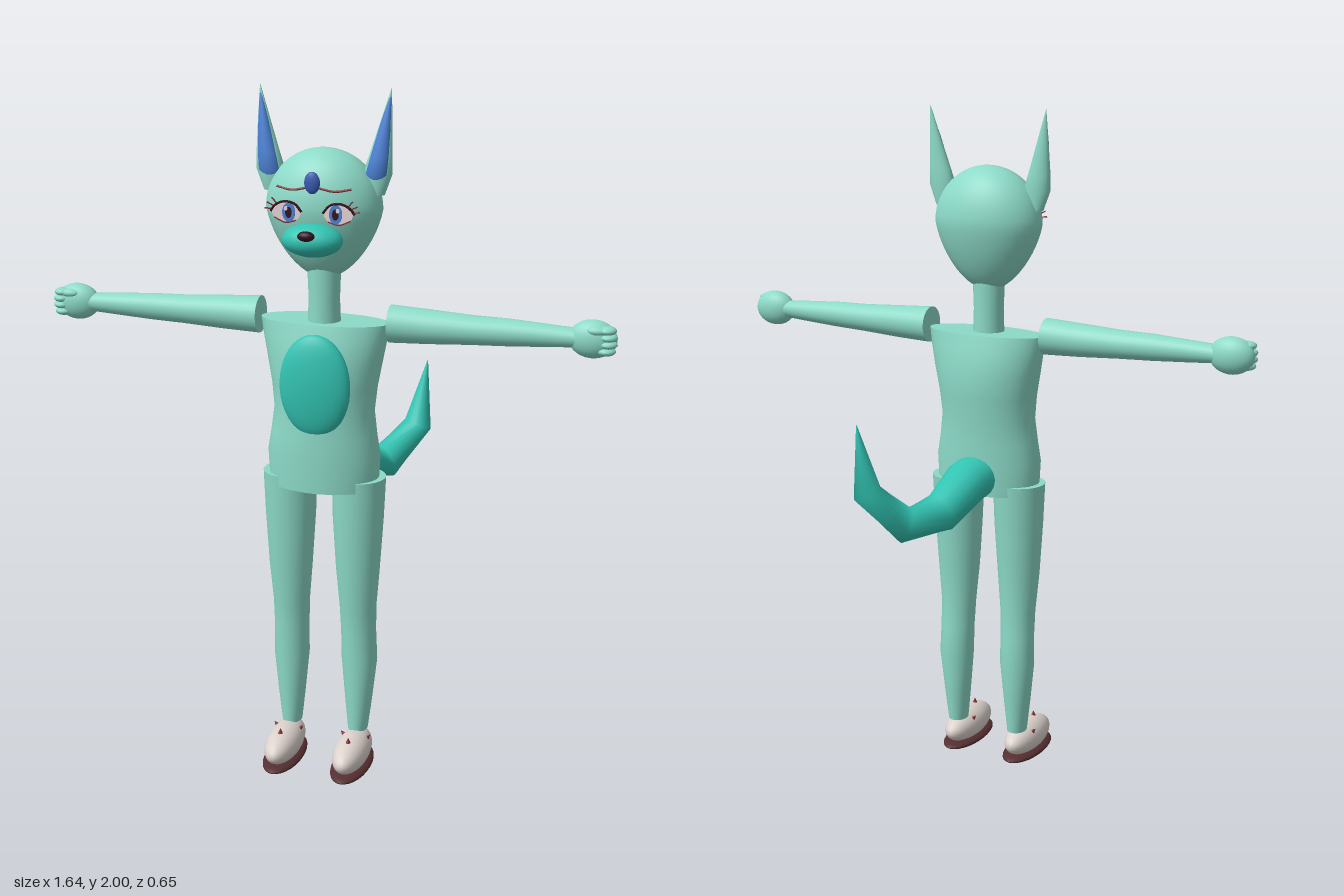
import * as THREE from 'three';

const mat = (name, color) => {
  const m = new THREE.MeshStandardMaterial({ color });
  m.name = name;
  return m;
};
const V = (x, y, z) => new THREE.Vector3(x, y, z);

// Closed loft through elliptical sections [x, y, z, a, b].
// With a fixed dir all rings are parallel; otherwise they follow the path.
function loft(sections, { dir = null, ref = V(0, 0, 1), n = 28 } = {}) {
  const pos = [], idx = [], last = sections.length - 1;
  const centre = i => V(...sections[i].slice(0, 3));
  const addRing = i => {
    const d = dir ? dir.clone() : centre(Math.min(i + 1, last)).sub(centre(Math.max(i - 1, 0))).normalize();
    const u = d.clone().cross(ref).normalize(), v = u.clone().cross(d);
    const start = pos.length / 3, [, , , a, b] = sections[i];
    for (let j = 0; j < n; j++) {
      const t = j / n * Math.PI * 2;
      const p = centre(i).addScaledVector(u, a * Math.cos(t)).addScaledVector(v, b * Math.sin(t));
      pos.push(p.x, p.y, p.z);
    }
    return start;
  };
  const rings = sections.map((_, i) => addRing(i));
  for (let i = 0; i < last; i++) for (let j = 0; j < n; j++) {
    const k = (j + 1) % n, A = rings[i], B = rings[i + 1];
    idx.push(A + j, B + j, A + k, B + j, B + k, A + k);
  }
  for (const i of [0, last]) { // end caps with their own vertices
    const r = addRing(i), c = pos.length / 3;
    pos.push(...centre(i).toArray());
    for (let j = 0; j < n; j++) {
      const k = (j + 1) % n;
      if (i === 0) idx.push(c, r + j, r + k); else idx.push(c, r + k, r + j);
    }
  }
  const g = new THREE.BufferGeometry();
  g.setAttribute('position', new THREE.Float32BufferAttribute(pos, 3));
  g.setIndex(idx);
  g.computeVertexNormals();
  return g;
}

export function createModel() {
  const fur = mat('mint fur', 0x8cdac8), teal = mat('teal fur', 0x32c4b3);
  const blue = mat('ear blue', 0x4c82d6), gemBlue = mat('gem blue', 0x3c5cb4);
  const shoe = mat('pale shoe', 0xdcd2cc), sole = mat('dark sole', 0x552e30);
  const red = mat('dark red', 0x8c3038), dark = mat('near black', 0x32141e);
  const white = mat('eye white', 0xf4e2e6);
  const UP = V(0, 1, 0);
  const model = new THREE.Group();

  const add = (name, geo, material, parent = model) => {
    const m = new THREE.Mesh(geo, material);
    m.name = name;
    parent.add(m);
    return m;
  };
  const ball = (name, c, r, material, parent, seg = 28) => {
    const m = add(name, new THREE.SphereGeometry(1, seg, Math.ceil(seg * 0.65)), material, parent);
    m.position.set(...c);
    m.scale.set(...r);
    return m;
  };
  // Thin elliptical plate facing the front
  const plate = (name, x, y, z, rx, ry, material, parent) => {
    const g = new THREE.CylinderGeometry(1, 1, 0.006, 28).rotateX(Math.PI / 2).scale(rx, ry, 1);
    add(name, g, material, parent).position.set(x, y, z);
  };
  const line = (name, pts, r, material, parent) =>
    add(name, new THREE.TubeGeometry(new THREE.CatmullRomCurve3(pts.map(p => V(...p))), 14, r, 6), material, parent);

  // Torso, neck and belly
  add('torso', loft([
    [0, 0.875, 0.135, 0.160, 0.104], [0, 0.97, 0.135, 0.165, 0.105], [0, 1.03, 0.134, 0.155, 0.104],
    [0, 1.10, 0.131, 0.146, 0.103], [0, 1.17, 0.127, 0.153, 0.106], [0, 1.24, 0.124, 0.166, 0.108],
    [0, 1.31, 0.122, 0.180, 0.092], [0, 1.355, 0.121, 0.187, 0.080]], { dir: UP, n: 40 }), fur);
  add('neck', loft([[0, 1.34, 0.13, 0.047, 0.045], [0, 1.42, 0.13, 0.044, 0.043],
    [0, 1.52, 0.13, 0.048, 0.046]], { dir: UP }), fur);
  ball('bellyPatch', [0, 1.187, 0.222], [0.103, 0.148, 0.037], teal);

  // Egg-shaped head, narrowing to the chin
  const headGeo = new THREE.SphereGeometry(1, 40, 28), hp = headGeo.attributes.position;
  for (let i = 0; i < hp.count; i++) {
    const t = hp.getY(i), k = t < 0 ? 1 + 0.22 * t : 1;
    hp.setXYZ(i, hp.getX(i) * k * 0.165, t * (t < 0 ? 0.195 : 0.165), hp.getZ(i) * k * 0.111);
  }
  headGeo.computeVertexNormals();
  add('head', headGeo, fur).position.set(0, 1.672, 0.127);

  // Face
  ball('muzzle', [0, 1.602, 0.238], [0.085, 0.046, 0.058], teal);
  ball('nose', [0, 1.623, 0.295], [0.024, 0.014, 0.015], dark);
  ball('foreheadGem', [0, 1.757, 0.238], [0.022, 0.03, 0.011], gemBlue);
  line('browBand', [[-0.105, 1.742, 0.222], [-0.06, 1.735, 0.231], [0, 1.745, 0.234],
    [0.06, 1.735, 0.231], [0.105, 1.742, 0.222]], 0.003, red);

  // Tail, bending sideways and up to a point
  add('tail', loft([[0, 0.93, 0.06, 0.066, 0.07], [0.002, 0.925, 0.0, 0.066, 0.07],
    [0.022, 0.862, -0.12, 0.06, 0.058], [0.09, 0.837, -0.21, 0.053, 0.052],
    [0.172, 0.94, -0.283, 0.042, 0.042], [0.196, 1.14, -0.296, 0.001, 0.001]], { ref: V(1, 0, 0), n: 20 }), teal);

  for (const s of [-1, 1]) {
    const side = s > 0 ? 'left' : 'right';
    const group = part => {
      const g = new THREE.Group();
      g.name = side + part;
      model.add(g);
      return g;
    };

    // Eye: layered plates, lid and lashes
    const eye = group('Eye');
    plate('eyeWhite', s * 0.073, 1.675, 0.235, 0.041, 0.027, white, eye);
    plate('iris', s * 0.066, 1.675, 0.238, 0.018, 0.026, blue, eye);
    plate('pupil', s * 0.066, 1.675, 0.240, 0.009, 0.015, dark, eye);
    plate('glint', s * 0.073, 1.686, 0.242, 0.005, 0.006, white, eye);
    line('upperLid', [[s * 0.03, 1.677, 0.239], [s * 0.05, 1.699, 0.239], [s * 0.08, 1.704, 0.239],
      [s * 0.105, 1.693, 0.238], [s * 0.118, 1.676, 0.236]], 0.0035, dark, eye);
    line('lowerLid', [[s * 0.045, 1.654, 0.238], [s * 0.075, 1.647, 0.238], [s * 0.108, 1.66, 0.238]], 0.002, red, eye);
    for (const [x, y, dx, dy] of [[0.1, 1.697, 0.014, 0.016], [0.108, 1.69, 0.02, 0.01], [0.114, 1.682, 0.02, 0.002]])
      line('lash', [[s * x, y, 0.237], [s * (x + dx), y + dy, 0.239]], 0.002, red, eye);

    // Ear: flattened cone with a blue front
    const ear = group('Ear');
    const earRings = (w, d, dz, y0) => loft([
      [s * 0.150, y0, 0.130, 0.022 * w, 0.018 * d], [s * 0.152, 1.772, 0.131 + dz, 0.041 * w, 0.025 * d],
      [s * 0.160, 1.82, 0.130 + dz, 0.033 * w, 0.021 * d], [s * 0.173, 1.91, 0.123 + dz, 0.017 * w, 0.011 * d],
      [s * 0.185, 2.0 - dz, 0.117, 0.0005, 0.0005]], { dir: UP, n: 20 });
    add('outerEar', earRings(1, 1, 0, 1.715), fur, ear);
    add('innerEar', earRings(0.8, 0.85, 0.008, 1.74), blue, ear);

    // Arm and fist
    const arm = group('Arm');
    add('armSleeve', loft([[s * 0.19, 1.357, 0.124, 0.053, 0.053], [s * 0.30, 1.356, 0.124, 0.048, 0.048],
      [s * 0.42, 1.356, 0.125, 0.041, 0.042], [s * 0.52, 1.357, 0.126, 0.038, 0.038],
      [s * 0.62, 1.357, 0.127, 0.032, 0.032], [s * 0.71, 1.357, 0.128, 0.026, 0.028]],
      { dir: V(s, 0, 0) }), fur, arm);
    ball('palm', [s * 0.752, 1.357, 0.128], [0.066, 0.053, 0.038], fur, arm);
    for (let i = 0; i < 4; i++) {
      const inset = Math.abs(i - 1.5) * 0.004;
      ball('finger', [s * (0.797 - inset), 1.329 + i * 0.019, 0.142], [0.026, 0.0125, 0.026], fur, arm, 14);
    }
    ball('thumb', [s * 0.765, 1.385, 0.15], [0.03, 0.013, 0.018], fur, arm, 14);

    // Leg
    const leg = group('Leg');
    add('legTube', loft([[s * 0.103, 0.105, 0.132, 0.029, 0.036], [s * 0.104, 0.20, 0.129, 0.040, 0.042],
      [s * 0.105, 0.33, 0.125, 0.053, 0.050], [s * 0.103, 0.42, 0.128, 0.052, 0.049],
      [s * 0.102, 0.50, 0.133, 0.054, 0.050], [s * 0.102, 0.62, 0.136, 0.064, 0.060],
      [s * 0.102, 0.78, 0.134, 0.074, 0.070], [s * 0.103, 0.905, 0.132, 0.078, 0.078]], { dir: UP }), fur, leg);

    // Shoe with dark sole and small red studs
    const foot = group('Shoe');
    ball('shoeUpper', [s * 0.105, 0.062, 0.2], [0.051, 0.05, 0.122], shoe, foot);
    ball('shoeSole', [s * 0.105, 0.018, 0.2], [0.057, 0.018, 0.128], sole, foot);
    for (const [x, y, z, tilt] of [[-0.038, 0.093, 0.165, 0.7], [0.038, 0.093, 0.165, -0.7], [0, 0.112, 0.243, 0]]) {
      const stud = add('shoeStud', new THREE.ConeGeometry(0.011, 0.024, 8), red, foot);
      stud.position.set(s * 0.105 + x, y, z);
      stud.rotation.z = tilt;
    }
  }
  return model;
}
